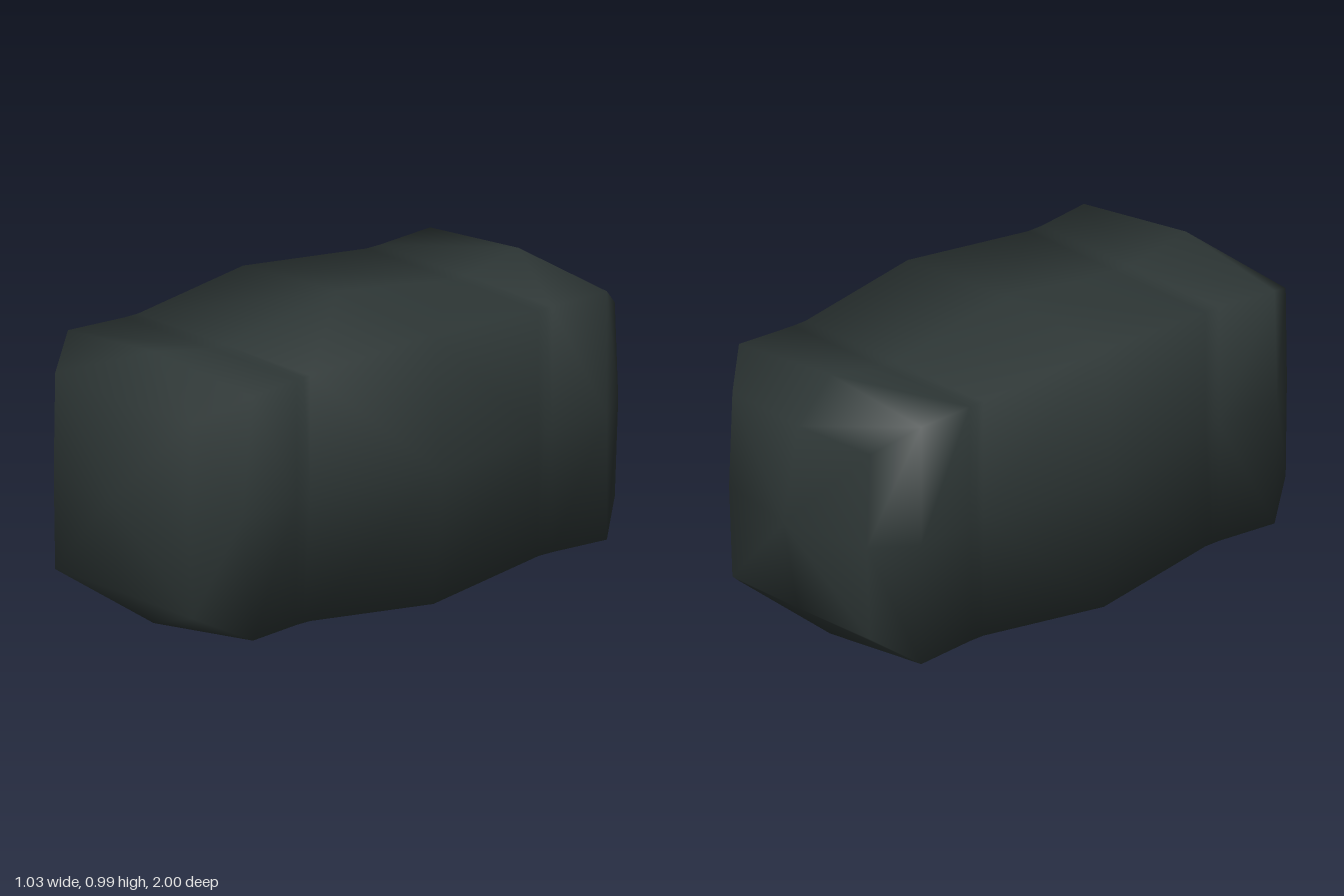
import * as THREE from 'three';

const CY = 0.503; // height of the long axis

// Eight-point ring: corner half-size (cx, cy) at depth cz, edge-middle half-size (mx, my) at depth mz
function ring(cx, cy, cz, mx = cx, my = cy, mz = cz) {
  return [[mx, 0, mz], [cx, cy, cz], [0, my, mz], [-cx, cy, cz],
    [-mx, 0, mz], [-cx, -cy, cz], [0, -my, mz], [cx, -cy, cz]];
}

// Smooth skin over rings listed from back to front, optionally closed by a tip at either end
function loft(rings, backTip, frontTip) {
  const points = rings.flat();
  const index = [];
  const n = 8;
  for (let r = 0; r < rings.length - 1; r++) {
    for (let i = 0; i < n; i++) {
      const j = (i + 1) % n;
      const a = r * n + i, b = r * n + j, c = a + n, d = b + n;
      // diagonals run the same way on both sides of each edge middle
      if (i % 2) index.push(a, b, c, b, d, c);
      else index.push(a, b, d, a, d, c);
    }
  }
  const close = (z, start, flip) => {
    const tip = points.push([0, 0, z]) - 1;
    for (let i = 0; i < n; i++) {
      const a = start + i, b = start + (i + 1) % n;
      index.push(tip, flip ? b : a, flip ? a : b);
    }
  };
  if (backTip !== undefined) close(backTip, 0, true);
  if (frontTip !== undefined) close(frontTip, (rings.length - 1) * n, false);

  const g = new THREE.BufferGeometry();
  g.setAttribute('position', new THREE.Float32BufferAttribute(
    points.flatMap(([x, y, z]) => [x, y + CY, z]), 3));
  g.setIndex(index);
  g.computeVertexNormals();
  return g;
}

export function createModel() {
  const group = new THREE.Group();
  const darkSlate = new THREE.MeshStandardMaterial({ color: 0x2e3736 });
  darkSlate.name = 'darkSlate';

  const add = (name, geometry) => {
    const mesh = new THREE.Mesh(geometry, darkSlate);
    mesh.name = name;
    group.add(mesh);
  };

  // Bulging middle, pinched where it meets the ends
  add('middleSection', loft([
    ring(0.425, 0.425, -0.53),
    ring(0.425, 0.425, -0.5),
    ring(0.47, 0.467, 0, 0.513, 0.497, 0),
    ring(0.425, 0.425, 0.5),
    ring(0.425, 0.425, 0.53),
  ]));

  // Pillowy front end
  add('frontEnd', loft([
    ring(0.425, 0.425, 0.53),
    ring(0.425, 0.425, 0.56),
    ring(0.457, 0.422, 0.78, 0.437, 0.47, 0.81),
    ring(0.34, 0.34, 0.94, 0.33, 0.33, 0.955),
  ], undefined, 1));

  // Pillowy back end
  add('backEnd', loft([
    ring(0.33, 0.335, -0.92, 0.33, 0.33, -0.935),
    ring(0.437, 0.43, -0.79, 0.437, 0.47, -0.79),
    ring(0.425, 0.425, -0.56),
    ring(0.425, 0.425, -0.53),
  ], -1));

  return group;
}
